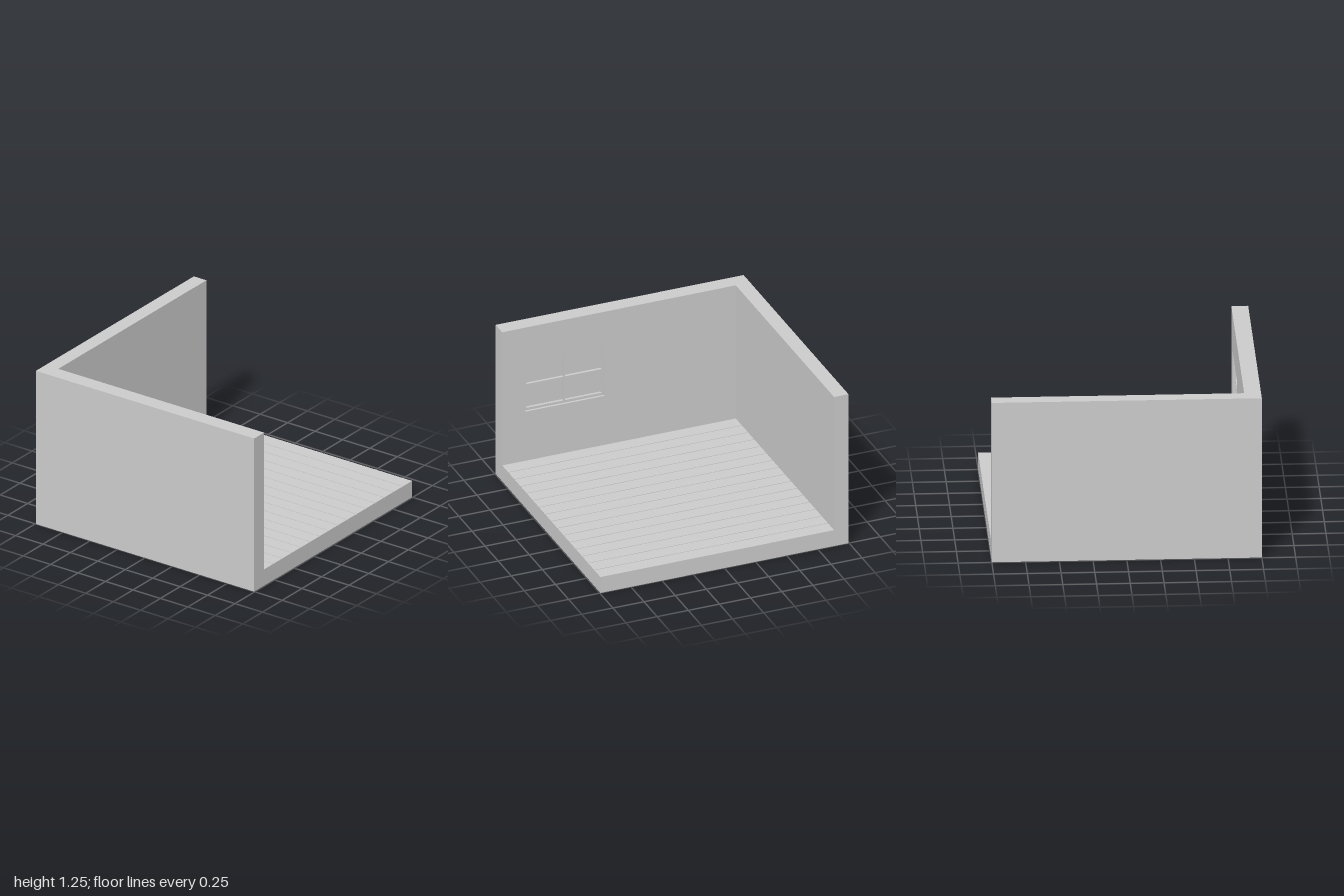
import * as THREE from 'three';

const material = new THREE.MeshStandardMaterial({ color: 0xcccccc, flatShading: true });

export function createModel() {
  const room = new THREE.Group();
  room.name = 'room';

  const X = 1, Z = 0.995, H = 1.255;
  const wallX = -0.875, wallZ = -0.88;       // inner faces of the walls
  const floorY = 0.134, baseY = 0.127;       // plank tops and slab top
  const recess = 0.04, frameSetback = 0.018; // window depths in the wall

  const add = (name, geometry, parent = room) => {
    const mesh = new THREE.Mesh(geometry, material);
    mesh.name = name;
    parent.add(mesh);
    return mesh;
  };

  // Box given by its low and high corners
  const box = (name, a, b, parent) => {
    const size = b.map((v, i) => v - a[i]);
    const mesh = add(name, new THREE.BoxGeometry(...size), parent);
    mesh.position.set(...a.map((v, i) => v + size[i] / 2));
    return mesh;
  };

  // Rectangle in the side wall's plane; shape x runs along -z
  const rect = (Type, z0, z1, y0, y1) => new Type([
    new THREE.Vector2(-z1, y0), new THREE.Vector2(-z0, y0),
    new THREE.Vector2(-z0, y1), new THREE.Vector2(-z1, y1),
  ]);

  // Extrude a wall-plane shape towards +x from x0 to x1
  const panel = (name, shape, x0, x1) => {
    const geometry = new THREE.ExtrudeGeometry(shape, { depth: x1 - x0, bevelEnabled: false });
    geometry.rotateY(Math.PI / 2);
    geometry.translate(x0, 0, 0);
    return add(name, geometry);
  };

  // Floor slab and back wall
  box('floorSlab', [wallX, 0, wallZ], [X, baseY, Z]);
  box('backWall', [wallX, 0, -Z], [X, H, wallZ]);

  // Side wall: solid outer layer and an inner layer with the window recess
  const win = [0.175, 0.81, 0.547, 0.97];
  box('sideWallOuter', [-X, 0, -Z], [wallX - recess, H, Z]);
  const inner = rect(THREE.Shape, -Z, Z, 0, H);
  inner.holes.push(rect(THREE.Path, ...win));
  panel('sideWallInner', inner, wallX - recess, wallX);

  // Window frame with four panes
  const frame = rect(THREE.Shape, ...win);
  for (const [z0, z1] of [[0.19, 0.485], [0.496, 0.79]]) {
    for (const [y0, y1] of [[0.567, 0.751], [0.767, 0.949]]) {
      frame.holes.push(rect(THREE.Path, z0, z1, y0, y1));
    }
  }
  panel('windowFrame', frame, wallX - recess, wallX - frameSetback);

  // Floorboards separated by narrow grooves
  const boards = new THREE.Group();
  boards.name = 'floorboards';
  room.add(boards);
  const count = 16, pitch = (X - wallX) / count, gap = 0.003;
  for (let i = 0; i < count; i++) {
    const x0 = wallX + i * pitch + (i > 0 ? gap : 0);
    const x1 = wallX + (i + 1) * pitch - (i < count - 1 ? gap : 0);
    box('floorboard', [x0, baseY, wallZ], [x1, floorY, Z], boards);
  }

  return room;
}
